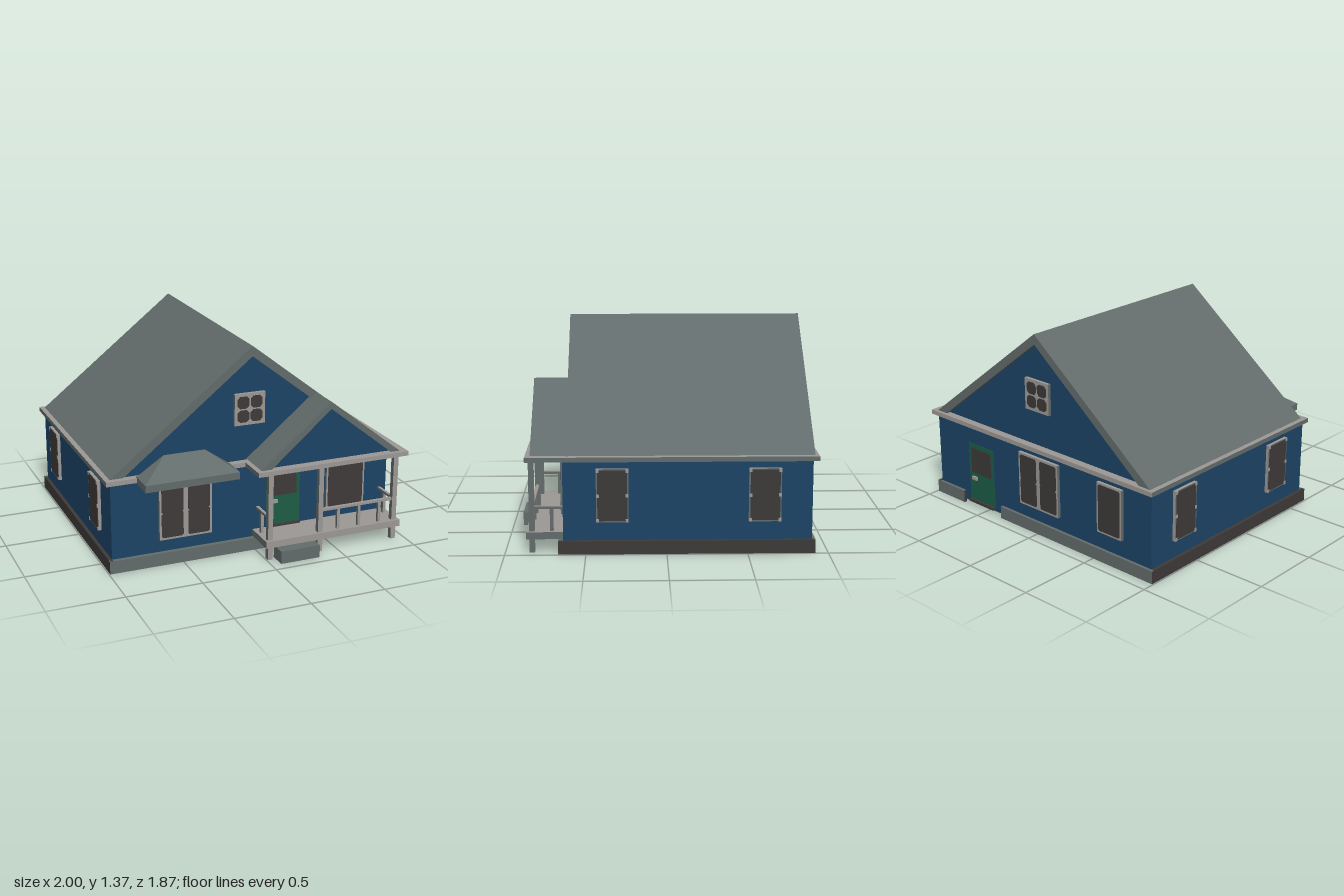
import * as THREE from 'three';

const mat = (name, color, side = THREE.FrontSide) => {
  const m = new THREE.MeshStandardMaterial({ color, side });
  m.name = name;
  return m;
};

export function createModel() {
  const house = new THREE.Group();
  house.name = 'house';
  const blue = mat('wallBlue', 0x1c4466, THREE.DoubleSide);
  const slate = mat('roofSlate', 0x626c6b, THREE.DoubleSide);
  const light = mat('trimGrey', 0x9c9894);
  const dark = mat('darkGrey', 0x3d3a39, THREE.DoubleSide);
  const green = mat('doorGreen', 0x1c5c45);

  const add = (parent, name, geometry, material) => {
    const mesh = new THREE.Mesh(geometry, material);
    mesh.name = name;
    parent.add(mesh);
    return mesh;
  };
  // Box given by its limits; ends optionally colours the two x faces
  const box = (parent, name, x0, x1, y0, y1, z0, z1, m, ends) => {
    const g = new THREE.BoxGeometry(x1 - x0, y1 - y0, z1 - z0);
    g.translate((x0 + x1) / 2, (y0 + y1) / 2, (z0 + z1) / 2);
    return add(parent, name, g, ends ? [ends, ends, m, m, m, m] : m);
  };
  const trim = (name, ...limits) => box(house, name, ...limits, light, slate);
  // Polygon in x,y extruded from z0 to z1
  const prism = (parent, name, points, z0, z1, m) => {
    const shape = new THREE.Shape(points.map(p => new THREE.Vector2(...p)));
    const g = new THREE.ExtrudeGeometry(shape, { depth: z1 - z0, bevelEnabled: false });
    return add(parent, name, g.translate(0, 0, z0), m);
  };

  // Hollow wall shell, open underneath
  box(house, 'frontWall', -0.97, 0.97, 0.08, 0.6, 0.63, 0.64, blue);
  box(house, 'backWall', -0.97, 0.97, 0.08, 0.6, -0.9, -0.89, blue);
  box(house, 'backDoorWall', 0.35, 0.72, 0.02, 0.08, -0.9, -0.89, blue);
  for (const s of [-1, 1]) {
    const x = s * 0.965;
    box(house, 'sideWall', x - 0.005, x + 0.005, 0.08, 0.6, -0.9, 0.64, blue);
  }
  box(house, 'ceiling', -0.96, 0.96, 0.592, 0.604, -0.89, 0.63, light);
  box(house, 'porchCeiling', -0.03, 0.96, 0.592, 0.604, 0.64, 0.83, light);

  // Foundation skirt, interrupted at the back door
  box(house, 'frontFoundation', -0.993, 0.993, 0, 0.085, 0.64, 0.67, slate, dark);
  box(house, 'backFoundation', -0.993, 0.35, 0, 0.085, -0.92, -0.9, slate, dark);
  box(house, 'backFoundation', 0.72, 0.993, 0, 0.085, -0.92, -0.9, slate, dark);
  for (const s of [-1, 1]) {
    const x = s * 0.981;
    box(house, 'sideFoundation', x - 0.012, x + 0.012, 0, 0.085, -0.919, 0.669, dark);
  }

  // Eaves trim around the house and porch
  trim('frontEave', -1, -0.01, 0.585, 0.615, 0.61, 0.66);
  trim('porchLeftEave', -0.07, -0.01, 0.585, 0.615, 0.61, 0.869);
  trim('porchFrontEave', -0.07, 1, 0.585, 0.615, 0.81, 0.869);
  trim('backEave', -1, 1, 0.585, 0.615, -0.935, -0.88);
  trim('leftEave', 0.94, 1, 0.585, 0.615, -0.935, 0.869);
  trim('rightEave', -1, -0.94, 0.585, 0.615, -0.935, 0.66);

  // Main roof, its gables, and the porch gable joined to the left slope
  prism(house, 'mainRoof', [[-0.97, 0.612], [-0.01, 1.37], [0.963, 0.612], [0.875, 0.612],
    [-0.01, 1.303], [-0.88, 0.612]], -0.912, 0.622, slate);
  for (const z of [-0.882, 0.585])
    prism(house, 'mainGable', [[-0.9, 0.605], [-0.01, 1.31], [0.9, 0.605]], z, z + 0.01, blue);
  prism(house, 'porchRoof', [[-0.04, 0.612], [0.443, 1.013], [0.955, 0.612], [0.89, 0.612],
    [0.443, 0.966], [0.03, 0.612]], 0.58, 0.838, slate);
  prism(house, 'porchGable', [[0, 0.605], [0.443, 0.975], [0.92, 0.605]], 0.8, 0.81, blue);

  // Hipped canopy over the front window
  box(house, 'canopyBase', -0.8, -0.175, 0.575, 0.622, 0.64, 0.818, slate);
  const hip = new THREE.BoxGeometry(0.625, 0.118, 0.168).translate(-0.4875, 0.681, 0.734).toNonIndexed();
  const p = hip.attributes.position;
  for (let i = 0; i < p.count; i++) {
    if (p.getY(i) < 0.7) continue;
    p.setX(i, p.getX(i) < -0.4875 ? -0.62 : -0.345);
    p.setZ(i, p.getZ(i) > 0.7 ? 0.655 : 0.65);
  }
  hip.computeVertexNormals();
  add(house, 'canopyRoof', hip, slate);

  // Window: frame, chamfered panes and small diamonds on the bars
  const windowAt = (x, y, z, turn, w, h, cols, rows, edge, gap) => {
    const g = new THREE.Group();
    g.name = 'window';
    g.position.set(x, y, z);
    g.rotation.y = turn;
    house.add(g);
    const onSide = Math.abs(Math.sin(turn)) > 0.5;
    const frame = box(g, 'windowFrame', -w / 2, w / 2, -h / 2, h / 2, 0, 0.021, light, slate);
    if (onSide) frame.material = [light, light, light, light, slate, slate];
    const c = rows > 1 ? 0.018 : 0.01;
    const pw = (w - 2 * edge - gap * (cols - 1)) / cols;
    const ph = (h - 2 * edge - gap * (rows - 1)) / rows;
    for (let i = 0; i < cols; i++) for (let j = 0; j < rows; j++) {
      const l = -w / 2 + edge + i * (pw + gap), b = -h / 2 + edge + j * (ph + gap);
      const r = l + pw, t = b + ph;
      prism(g, 'windowPane', [[l + c, b], [r - c, b], [r, b + c], [r, t - c],
        [r - c, t], [l + c, t], [l, t - c], [l, b + c]], 0.02, 0.0225, dark);
    }
    if (cols > 1) for (const dx of [-w / 2 + edge, 0, w / 2 - edge]) {
      const d = dx ? 0.009 : 0.024;
      prism(g, 'barDiamond', [[dx - d, 0], [dx, -d], [dx + d, 0], [dx, d]], 0.021, 0.024, light);
    }
    if (onSide) for (const sx of [-1, 1]) for (const sy of [-1, 0, 1]) {
      const cx = sx * (w / 2 - 0.009), cy = sy * (h / 2 - 0.011);
      box(g, 'frameCorner', cx - 0.009, cx + 0.009, cy - 0.011, cy + 0.011, 0.02, 0.025, light);
    }
  };
  windowAt(-0.48, 0.352, 0.64, 0, 0.355, 0.364, 2, 1, 0.014, 0.032);
  windowAt(0.653, 0.372, 0.64, 0, 0.28, 0.338, 1, 1, 0.012, 0);
  windowAt(-0.023, 0.957, 0.595, 0, 0.21, 0.21, 2, 2, 0.019, 0.01);
  windowAt(-0.02, 0.36, -0.9, Math.PI, 0.355, 0.364, 2, 1, 0.014, 0.032);
  windowAt(-0.64, 0.372, -0.9, Math.PI, 0.205, 0.338, 1, 1, 0.012, 0);
  windowAt(-0.01, 0.957, -0.882, Math.PI, 0.21, 0.21, 2, 2, 0.019, 0.01);
  for (const s of [-1, 1]) for (const z of [0.335, -0.605])
    windowAt(s * 0.97, 0.372, z, s * Math.PI / 2, 0.2, 0.336, 1, 1, 0.008, 0);

  // Doors, seen from both sides of the wall
  const doorAt = (x, y, z, turn) => {
    const g = new THREE.Group();
    g.name = 'door';
    g.position.set(x, y, z);
    g.rotation.y = turn;
    house.add(g);
    box(g, 'doorLeaf', -0.12, 0.12, 0, 0.41, -0.014, 0.004, green);
    prism(g, 'doorPane', [[-0.095, 0.2], [0.095, 0.2], [0.095, 0.37], [0.085, 0.38],
      [-0.085, 0.38], [-0.095, 0.37]], -0.017, 0.007, dark);
    box(g, 'doorHandle', -0.087, -0.042, 0.152, 0.175, 0.004, 0.02, light);
    box(g, 'doorSill', -0.12, 0.12, -0.018, 0, 0, 0.022, dark);
  };
  doorAt(0.205, 0.148, 0.64, 0);
  doorAt(0.545, 0.048, -0.9, Math.PI);

  // Porch deck, step, posts and railings
  trim('porchDeck', -0.01, 0.96, 0.09, 0.135, 0.64, 0.868);
  box(house, 'porchStep', 0.064, 0.337, 0, 0.085, 0.82, 0.935, slate);
  for (const x of [0.025, 0.38, 0.922])
    trim('porchPost', x - 0.017, x + 0.017, 0, 0.59, 0.817, 0.851);
  trim('frontRail', 0.39, 0.91, 0.275, 0.292, 0.823, 0.845);
  for (const x of [0.513, 0.665, 0.815])
    trim('frontBaluster', x - 0.01, x + 0.01, 0.135, 0.28, 0.824, 0.844);
  for (const x of [0.025, 0.922]) {
    trim('sideRail', x - 0.01, x + 0.01, 0.275, 0.292, 0.64, 0.82);
    trim('sideBaluster', x - 0.01, x + 0.01, 0.135, 0.28, 0.7, 0.722);
  }
  return house;
}
